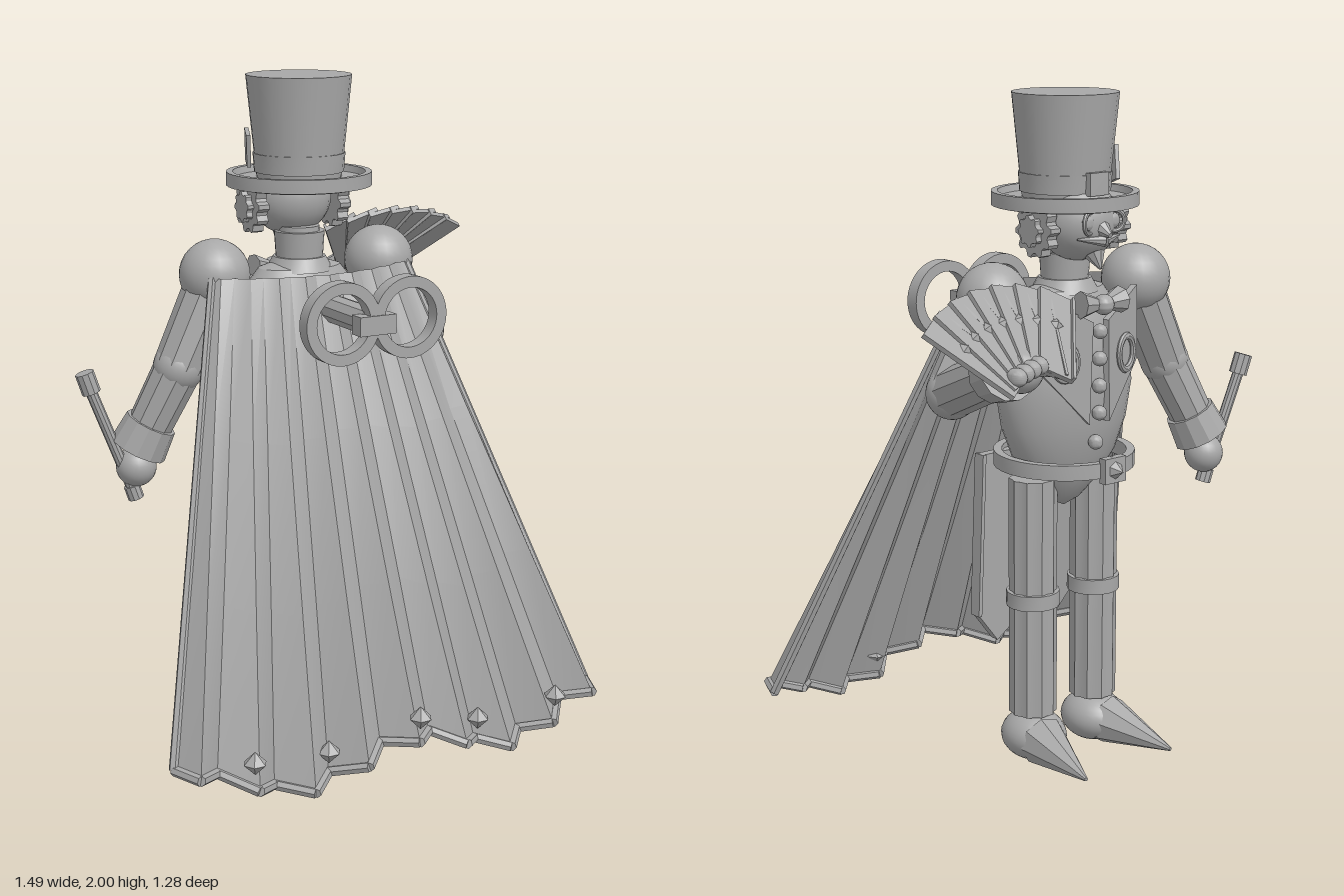
import * as THREE from 'three';
import { toCreasedNormals } from 'three/addons/utils/BufferGeometryUtils.js';

const CX = -0.045, CZ = -0.11; // body axis
const V = (x, y, z) => new THREE.Vector3(x, y, z);

export function createModel() {
  const model = new THREE.Group();
  const grey = new THREE.MeshStandardMaterial({ color: 0xa8a8a8, side: THREE.DoubleSide });
  grey.name = 'plain grey';

  const add = (geo, name, x = 0, y = 0, z = 0, parent = model) => {
    const mesh = new THREE.Mesh(toCreasedNormals(geo, 0.5), grey);
    mesh.name = name;
    mesh.position.set(x, y, z);
    parent.add(mesh);
    return mesh;
  };
  const ball = (name, r, x, y, z, sx = 1, sy = 1, sz = 1) => {
    const m = add(new THREE.SphereGeometry(r, 24, 16), name, x, y, z);
    m.scale.set(sx, sy, sz);
    return m;
  };
  const box = (name, w, h, d, x, y, z, parent) => add(new THREE.BoxGeometry(w, h, d), name, x, y, z, parent);
  const cyl = (name, r1, r0, y0, y1, x = CX, z = CZ, sides = 24) =>
    add(new THREE.CylinderGeometry(r1, r0, y1 - y0, sides), name, x, (y0 + y1) / 2, z);
  // tapered rod from a to b
  const rod = (name, a, b, ra, rb = ra, sides = 10) => {
    const m = add(new THREE.CylinderGeometry(rb, ra, a.distanceTo(b), sides), name);
    m.position.copy(a).lerp(b, 0.5);
    m.quaternion.setFromUnitVectors(V(0, 1, 0), b.clone().sub(a).normalize());
    return m;
  };
  const plate = (points, depth) =>
    new THREE.ExtrudeGeometry(new THREE.Shape(points.map(p => new THREE.Vector2(...p))), { depth, bevelEnabled: false });
  const ring = (ro, ri, depth) => {
    const s = new THREE.Shape().absarc(0, 0, ro, 0, Math.PI * 2);
    s.holes.push(new THREE.Path().absarc(0, 0, ri, 0, Math.PI * 2, true));
    return new THREE.ExtrudeGeometry(s, { depth, bevelEnabled: false, curveSegments: 24 });
  };
  const gear = (r, teeth, depth) => {
    const pts = [];
    for (let i = 0; i < teeth * 4; i++) {
      const a = i / (teeth * 4) * Math.PI * 2, k = i % 4 < 2 ? r : r * 0.82;
      pts.push([k * Math.cos(a), k * Math.sin(a)]);
    }
    return plate(pts, depth).translate(0, 0, -depth / 2);
  };
  const lathe = (pts, name) => add(new THREE.LatheGeometry(pts.map(p => new THREE.Vector2(...p)), 32), name, CX, 0, CZ);

  // top hat
  cyl('hatCrown', 0.155, 0.125, 1.7, 2);
  cyl('hatBand', 0.136, 0.132, 1.72, 1.775);
  lathe([[0, 1.69], [0.19, 1.675], [0.214, 1.68], [0.214, 1.72], [0.195, 1.72], [0.19, 1.70], [0.12, 1.705]], 'hatBrim');
  box('hatBuckle', 0.07, 0.065, 0.02, CX, 1.75, CZ - 0.138);
  const hatCard = box('hatCard', 0.012, 0.1, 0.06, CX - 0.142, 1.79, CZ - 0.05);
  hatCard.rotation.set(0.3, -0.35, 0.15);

  // head, face and ear gears
  ball('head', 0.122, CX, 1.64, -0.165, 1, 0.95, 0.95);
  rod('nose', V(CX, 1.625, -0.27), V(CX, 1.61, -0.305), 0.025, 0.008, 8);
  rod('goatee', V(CX, 1.55, -0.24), V(CX, 1.51, -0.265), 0.03, 0.004, 8);
  for (const s of [-1, 1]) {
    ball('eye', 0.022, CX + s * 0.048, 1.645, -0.265, 1, 1, 0.5);
    const goggle = add(new THREE.TorusGeometry(0.03, 0.007, 8, 20), 'goggleRim', CX + s * 0.048, 1.645, -0.268);
    goggle.rotation.y = s * 0.4;
    rod('moustache', V(CX, 1.592, -0.278), V(CX + s * 0.08, 1.6, -0.255), 0.017, 0.003, 8);
    const big = add(gear(0.078, 10, 0.035), 'earGear', CX + s * 0.135, 1.62, -0.148);
    const small = add(gear(0.045, 8, 0.022), 'earGearHub', CX + s * 0.16, 1.62, -0.148);
    big.rotation.y = small.rotation.y = s * Math.PI / 2;
  }
  cyl('neck', 0.06, 0.065, 1.43, 1.56);
  cyl('standingCollar', 0.075, 0.068, 1.44, 1.545);
  cyl('neckBase', 0.078, 0.1, 1.43, 1.47);

  // egg shaped torso and belt
  lathe([[0, 0.78], [0.055, 0.805], [0.12, 0.865], [0.178, 0.945], [0.215, 1.04], [0.234, 1.15],
    [0.223, 1.27], [0.188, 1.37], [0.13, 1.44], [0, 1.48]], 'torso').scale.z = 0.62;
  lathe([[0.185, 0.91], [0.21, 0.91], [0.21, 0.955], [0.185, 0.955], [0.185, 0.91]], 'belt');
  box('beltBuckle', 0.08, 0.075, 0.025, CX, 0.933, CZ - 0.215);
  const spike = add(new THREE.ConeGeometry(0.04, 0.05, 6), 'buckleSpike', CX, 0.933, CZ - 0.235);
  spike.rotation.x = -Math.PI / 2;

  // waistcoat buttons, bow tie and lapels
  for (const y of [1.0, 1.09, 1.17, 1.25, 1.33]) ball('button', 0.022, CX, y, y < 1.05 ? -0.25 : -0.265);
  ball('bowKnot', 0.03, CX, 1.41, -0.28);
  for (const s of [-1, 1]) {
    rod('bowLoop', V(CX, 1.41, -0.275), V(CX + s * 0.075, 1.415, -0.265), 0.012, 0.04, 8);
    const lapel = new THREE.Group();
    lapel.name = 'lapel';
    lapel.position.set(CX, 0, -0.278);
    lapel.rotation.y = -s * 0.28;
    model.add(lapel);
    add(plate([[s * 0.03, 1.36], [s * 0.185, 1.44], [s * 0.19, 1.22], [s * 0.04, 1.06]], 0.02), 'lapelPlate', 0, 0, 0, lapel);
    add(new THREE.TorusGeometry(0.038, 0.009, 8, 20), 'lapelRing', s * 0.12, 1.25, -0.005, lapel).scale.y = 1.3;
  }

  // fluted legs and pointed shoes
  for (const s of [-1, 1]) {
    const x = CX + s * 0.12, geo = new THREE.CylinderGeometry(0.072, 0.072, 0.73, 20), p = geo.attributes.position;
    for (let i = 0; i < p.count; i++) {
      const step = Math.round(Math.atan2(p.getZ(i), p.getX(i)) / Math.PI * 10);
      const k = Math.abs(step) % 2 ? 0.9 : 1;
      p.setX(i, p.getX(i) * k);
      p.setZ(i, p.getZ(i) * k);
    }
    add(geo, 'leg', x, 0.52, CZ);
    cyl('kneeBand', 0.08, 0.08, 0.495, 0.54, x, CZ, 16);
    ball('shoeHeel', 0.095, x, 0.082, -0.115, 1, 0.8, 1.12);
    rod('shoeToe', V(x + s * 0.012, 0.078, -0.17), V(x + s * 0.05, 0.045, -0.41), 0.076, 0.006, 8);
  }

  // coat tails
  for (const s of [-1, 1]) {
    const tail = new THREE.Group();
    tail.name = 'coatTail';
    tail.position.set(CX + s * 0.12, 0.94, 0.02);
    tail.rotation.x = s < 0 ? -0.13 : 0;
    model.add(tail);
    add(plate([[-0.08, 0], [0.08, 0], [0.1, -0.5], [s * 0.03, -0.59], [-0.1, -0.5]], 0.03), 'tailPanel', 0, 0, 0, tail);
    for (const e of [-1, 1]) box('tailTrim', 0.012, 0.5, 0.04, e * 0.09, -0.25, 0.015, tail).rotation.z = e * 0.04;
  }

  // shoulders and arms
  for (const s of [-1, 1]) ball('shoulder', 0.104, CX + s * 0.275, 1.435, -0.117);
  const arm = (shoulder, elbow, wrist, hand) => {
    rod('upperArm', shoulder, elbow, 0.082, 0.075);
    ball('elbow', 0.075, elbow.x, elbow.y, elbow.z);
    rod('forearm', elbow, wrist, 0.072, 0.065);
    const dir = wrist.clone().sub(elbow).normalize();
    rod('cuff', wrist.clone().addScaledVector(dir, -0.05), wrist.clone().addScaledVector(dir, 0.04), 0.077, 0.086, 12);
    ball('hand', 0.06, hand.x, hand.y, hand.z);
  };
  arm(V(0.23, 1.42, -0.117), V(0.395, 1.193, -0.14), V(0.452, 1.31, -0.43), V(0.475, 1.335, -0.535));
  arm(V(-0.32, 1.42, -0.117), V(-0.437, 1.17, -0.125), V(-0.53, 0.96, -0.175), V(-0.55, 0.87, -0.19));

  // baton
  rod('baton', V(-0.56, 0.79, -0.185), V(-0.695, 1.15, -0.208), 0.017);
  rod('batonTip', V(-0.678, 1.105, -0.205), V(-0.697, 1.165, -0.209), 0.028);
  rod('batonFoot', V(-0.555, 0.775, -0.184), V(-0.568, 0.815, -0.186), 0.024);

  // fan of cards, with a raised spot on each card
  const fan = new THREE.Group();
  fan.name = 'cardFan';
  fan.position.set(0.475, 1.26, -0.665);
  fan.rotation.x = Math.PI / 4;
  model.add(fan);
  for (let i = 0; i < 7; i++) {
    const card = new THREE.Group();
    card.name = 'card';
    card.rotation.z = 0.54 - i * 0.195;
    card.position.z = -0.012 + i * 0.004;
    fan.add(card);
    box('cardPanel', 0.105, 0.28, 0.014, 0, 0.24, 0, card).rotation.y = 0.12;
    box('cardRib', 0.008, 0.28, 0.026, -0.05, 0.24, 0, card);
    const spot = add(new THREE.OctahedronGeometry(0.02), 'cardSpot', 0, 0.27, -0.008, card);
    spot.scale.z = 0.6;
  }
  for (let i = 0; i < 4; i++) ball('finger', 0.025, 0.46 + i * 0.027, 1.355 - i * 0.006, -0.585 - i * 0.004, 1, 1, 1.3);

  // pleated cape: pleats deepen from the shoulders to a wavy hem, with a narrow turned-in edge each side
  const N = 18, ROWS = 3;
  const cape = (i, t) => {
    const u = THREE.MathUtils.clamp((i - 9) / 8 * 0.945, -1, 1);
    const fold = (i % 2 ? 1 : -1) * (0.006 + 0.036 * t ** 1.4);
    const top = V(CX + 0.322 * u, 1.44, 0.07 - 0.1 * u * u);
    const low = V(CX + 0.685 * u, 0.145 + 0.045 * Math.cos(u * Math.PI * 2), 0.562 - 0.08 * u * u);
    return top.lerp(low, t).add(V(0, 0, fold));
  };
  const pos = [], idx = [];
  for (let r = 0; r <= ROWS; r++)
    for (let i = 0; i <= N; i++) pos.push(...cape(i, r / ROWS).toArray());
  for (let r = 0; r < ROWS; r++)
    for (let i = 0; i < N; i++) {
      const a = r * (N + 1) + i, b = a + N + 1;
      idx.push(a, b, a + 1, b, b + 1, a + 1);
    }
  const cloth = new THREE.BufferGeometry();
  cloth.setAttribute('position', new THREE.Float32BufferAttribute(pos, 3));
  cloth.setIndex(idx);
  cloth.computeVertexNormals();
  add(cloth, 'cape');
  for (let i = 0; i < N; i++) rod('capeHem', cape(i, 1), cape(i + 1, 1), 0.015, 0.015, 6);
  for (const i of [0, N]) rod('capeEdge', cape(i, 0), cape(i, 1), 0.012, 0.015, 6);

  // hem studs
  for (const [dx, y, z] of [[0, 0.265, 0.605], [0.247, 0.182, 0.52], [-0.247, 0.182, 0.52], [0.495, 0.215, 0.555], [-0.495, 0.215, 0.555]])
    add(new THREE.SphereGeometry(0.034, 6, 2), 'hemStud', CX + dx, y, z);

  // wind-up key on the back
  rod('keyShaft', V(CX, 1.345, 0), V(CX, 1.345, 0.32), 0.042);
  for (const s of [-1, 1]) add(ring(0.117, 0.085, 0.044), 'keyRing', CX + s * 0.107, 1.355, 0.31);
  box('keyBridge', 0.115, 0.055, 0.05, CX, 1.343, 0.333);

  return model;
}
